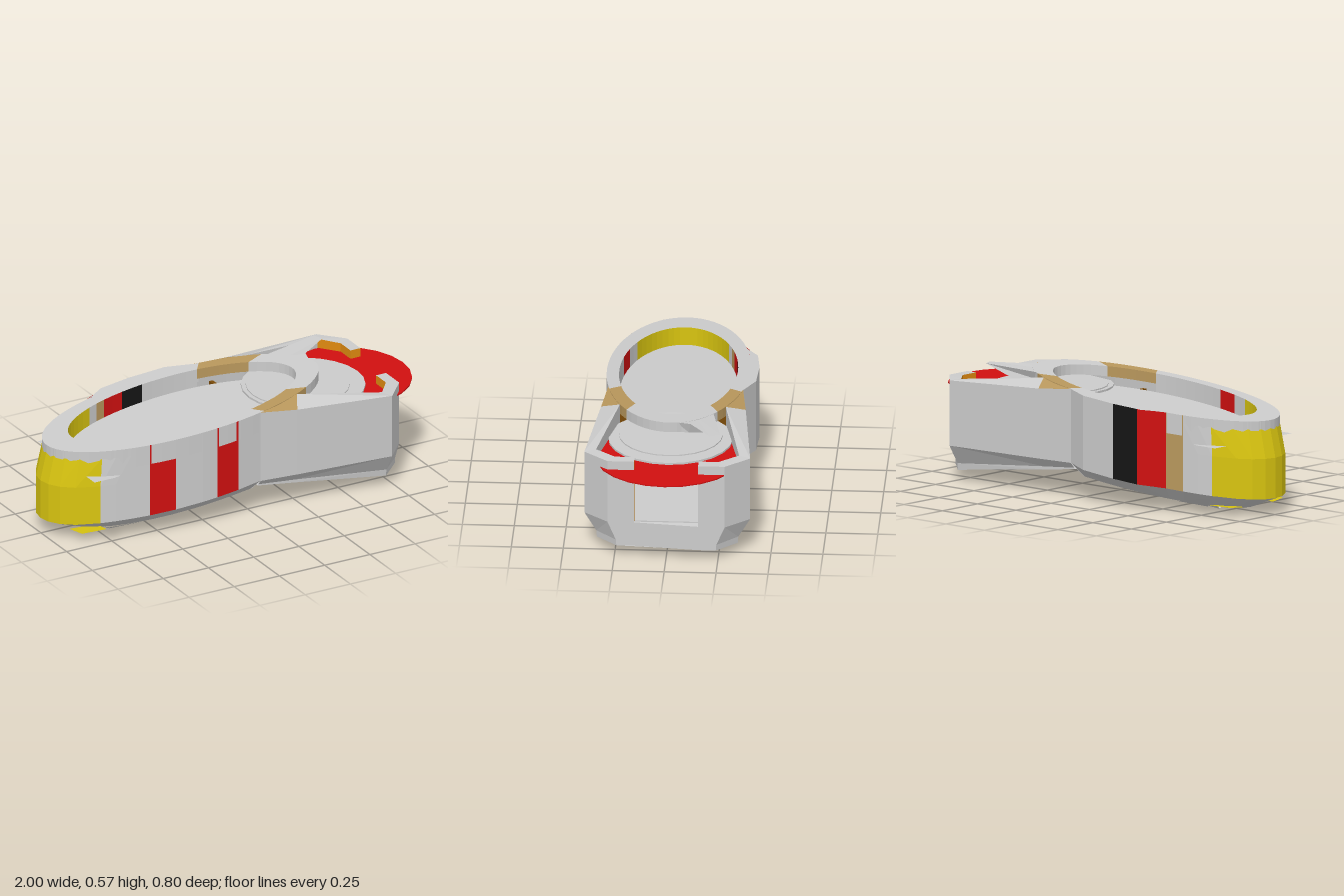
import * as THREE from 'three';

const GREY = 0xcccccc, RED = 0xd01010, YELLOW = 0xd8c410, TAN = 0xb8975c, ORANGE = 0xe08a10, BLACK = 0x151515, BROWN = 0x7a4a08;
const V = (x, y, z) => new THREE.Vector3(x, y, z);
const mat = c => new THREE.MeshStandardMaterial({ color: c, flatShading: true, side: THREE.DoubleSide });
const clamp = THREE.MathUtils.clamp;

// Skins a surface between rows of equally many points
function loft(rows, name, color = GREY) {
  const pos = [], idx = [], n = rows[0].length;
  rows.forEach(r => r.forEach(p => pos.push(p.x, p.y, p.z)));
  for (let r = 0; r < rows.length - 1; r++) for (let i = 0; i < n - 1; i++) {
    const a = r * n + i, b = a + n;
    idx.push(a, b, a + 1, a + 1, b, b + 1);
  }
  const g = new THREE.BufferGeometry();
  g.setAttribute('position', new THREE.Float32BufferAttribute(pos, 3));
  g.setIndex(idx);
  g.computeVertexNormals();
  const m = new THREE.Mesh(g, mat(color));
  m.name = name;
  return m;
}

// Tilted planes of the hull
const topY = x => 0.531 + 0.073 * x;
const wallY = x => 0.17 + 0.09 * x;
const bellyY = x => 0.09 + 0.082 * x;
const CX = -0.23, RX = 0.74, RZ = 0.345;
const hullZ = x => RZ * Math.sqrt(Math.max(0, 1 - ((x - CX) / RX) ** 2));
const BULGE = [[-0.55, 0.312], [-0.46, 0.368], [-0.3, 0.385], [-0.1, 0.38], [0.03, 0.325]];
function bulgeZ(x) {
  for (let i = 0; i < BULGE.length - 1; i++) {
    const [a, za] = BULGE[i], [b, zb] = BULGE[i + 1];
    if (x >= a && x <= b) return THREE.MathUtils.lerp(za, zb, (x - a) / (b - a));
  }
  return 0;
}

// Points of one hull section, from rim down to belly
function hullSection(x, s) {
  const z = s * (s < 0 ? Math.max(hullZ(x), bulgeZ(x)) : hullZ(x));
  const k = 1 + 0.045 * clamp((-0.7 - x) / 0.2, 0, 1);
  const bx = x < CX ? CX + (x - CX) * 0.83 : x;
  return [
    V(x, topY(x), z), V(x, topY(x) - 0.04, z),
    V(CX + (x - CX) * k, topY(x) - 0.18, z * k),
    V(CX + (x - CX) * k, wallY(x), z * k),
    V(bx, bellyY(bx), hullZ(x) * 0.7 * s)];
}

function buildHull(g) {
  const xs = [-0.97, -0.96, -0.93, -0.88, -0.79, -0.73, -0.66, -0.57, -0.44, -0.3, -0.22, -0.1, 0.03];
  const paint = { 1: { 7: RED, 10: RED }, '-1': { 6: TAN, 7: RED, 8: BLACK } };
  for (const s of [1, -1]) {
    for (let i = 0; i < xs.length - 1; i++) {
      const a = hullSection(xs[i], s), b = hullSection(xs[i + 1], s);
      const c = i < 4 ? YELLOW : paint[s][i] ?? GREY;
      g.add(loft([a.slice(0, 2), b.slice(0, 2)], 'hullRimBand', i < 4 ? GREY : c));
      g.add(loft([a.slice(1, 4), b.slice(1, 4)], i < 4 ? 'nosePanel' : 'hullPanel', c));
      g.add(loft([a.slice(3), b.slice(3)], 'lowerHull'));
    }
  }
  const belly = s => xs.map(x => hullSection(x, s)[4]);
  g.add(loft([belly(1), belly(-1)], 'belly'));
  // step behind the belly
  g.add(loft([[V(0.03, 0.092, 0.23), V(0.03, 0.092, -0.23)], [V(0.03, 0.17, 0.32), V(0.03, 0.17, -0.32)]], 'bellyStep'));
  // side bulge lid
  const bl = BULGE.map(b => b[0]);
  g.add(loft([bl.map(x => V(x, topY(x), -hullZ(x))), bl.map(x => V(x, topY(x), -Math.max(hullZ(x), bulgeZ(x))))], 'bulgeLid'));
  // keel under the belly
  const keel = [[-0.7, 0.002], [0.03, 0.066]].map(([x, y]) => [
    V(x, y + 0.035, 0.09), V(x, y, 0.065), V(x, y + 0.01, 0.05), V(x, y + 0.01, -0.05), V(x, y, -0.065), V(x, y + 0.035, -0.09)]);
  g.add(loft(keel, 'keel'));
  // small fins beside the nose
  for (const s of [1, -1]) {
    g.add(loft([[V(-0.86, 0.345, s * 0.275), V(-0.75, 0.345, s * 0.275)], [V(-0.86, 0.345, s * 0.15), V(-0.68, 0.345, s * 0.26)]], 'noseFin'));
    g.add(loft([[V(-0.8, 0.09, s * 0.24), V(-0.78, 0.09, s * 0.275)], [V(-0.72, 0.03, s * 0.17), V(-0.55, 0.04, s * 0.2)]], 'lowerFin'));
    g.add(loft([[V(-0.9, 0.04, s * 0.1), V(-0.75, 0.032, s * 0.1)], [V(-0.88, 0.045, s * 0.19), V(-0.75, 0.045, s * 0.2)]], 'bellyLight', YELLOW));
  }
}

function buildRing(g) {
  const N = 64;
  const at = (i, cx, rx, rz, d) => {
    const t = i / N * Math.PI * 2, x = cx + rx * Math.cos(t);
    return V(x, topY(x) - d, rz * Math.sin(t));
  };
  // bridge and rim, deeper where it joins the hull
  for (let i = 0; i < N; i++) {
    const x = at(i + 0.5, CX, RX, RZ, 0).x, z = at(i + 0.5, CX, RX, RZ, 0).z;
    const d = x < 0.05 ? 0.1 : 0.05;
    const tan = x > 0.03 && x < 0.32;
    const inner = x < -0.72 ? YELLOW : tan || (z < 0 && x > -0.66 && x < -0.57) ? TAN
      : x > -0.57 && x < -0.44 ? RED : z < 0 && x > -0.44 && x < -0.3 ? BLACK : GREY;
    const sec = j => [at(j, CX, RX, RZ, d), at(j, CX, RX, RZ, 0), at(j, -0.22, 0.61, 0.285, 0), at(j, -0.22, 0.61, 0.285, d)];
    const a = sec(i), b = sec(i + 1);
    g.add(loft([a.slice(0, 3), b.slice(0, 3)], 'rimRing', tan ? TAN : GREY));
    g.add(loft([a.slice(2), b.slice(2)], 'rimInnerWall', inner));
    if (x >= 0.05) g.add(loft([[a[3], a[0]], [b[3], b[0]]], 'bridgeUnderside'));
  }
  // sunken deck
  const edge = [], mid = [];
  for (let i = 0; i <= N; i++) {
    edge.push(at(i, -0.22, 0.605, 0.28, 0.09));
    mid.push(V(-0.22, topY(-0.22) - 0.09, 0));
  }
  g.add(loft([edge, mid], 'deck'));
  // raised fin on the bridge
  const fin = [[0.36, 0.557, -0.2], [0.65, 0.573, -0.25], [0.67, 0.572, -0.2], [0.52, 0.568, -0.1], [0.5, 0.566, -0.03]];
  const top = fin.map(p => V(...p)), c = V(0.42, 0.56, -0.12);
  g.add(loft([top, top.map(() => c)], 'bridgeFin'));
  g.add(loft([top, top.map(p => V(Math.min(p.x, 0.5), 0.515, p.z * 0.9))], 'bridgeFinSide'));
}

function buildTail(g) {
  const bottoms = {}, sills = {};
  for (const s of [1, -1]) {
    const d = s < 0 ? 0.035 : 0;
    const P = (x, y, z) => V(x > 0.6 ? x + d : x, y, z * s);
    const top = [P(0.03, 0.533, 0.325), P(0.22, 0.515, 0.348), P(0.715, 0.497, 0.4), P(0.82, 0.497, 0.283), P(0.82, 0.497, 0.155)];
    const waist = [P(0.03, 0.172, 0.325), P(0.22, 0.173, 0.348), P(0.715, 0.178, 0.4), P(0.82, 0.178, 0.283), P(0.82, 0.178, 0.155)];
    const low = [P(0.03, 0.145, 0.3), P(0.22, 0.13, 0.31), P(0.715, 0.085, 0.343), P(0.82, 0.085, 0.243), P(0.82, 0.085, 0.155)];
    const base = [P(0.03, 0.138, 0.3), P(0.22, 0.115, 0.31), P(0.715, 0.052, 0.34), P(0.82, 0.055, 0.24), P(0.82, 0.055, 0.155)];
    const rail = [P(0.03, 0.533, 0.323), P(0.27, 0.55, 0.255), P(0.69, 0.5, 0.345), P(0.765, 0.497, 0.25), P(0.765, 0.497, 0.155)];
    const drop = rail.map(p => V(p.x, 0.178, p.z));
    g.add(loft([top, waist, low, base], 'tailSide'));
    g.add(loft([top.slice(0, 2), rail.slice(0, 2)], 'tailGusset', TAN));
    g.add(loft([top.slice(1), rail.slice(1)], 'tailRail'));
    g.add(loft([rail.slice(1, 3), drop.slice(1, 3)], 'tailInnerWall'));
    g.add(loft([rail.slice(2), drop.slice(2)], 'postInnerWall', ORANGE));
    g.add(loft([[top[4], waist[4]], [rail[4], drop[4]]], 'doorPost', ORANGE));
    bottoms[s] = base;
    sills[s] = [waist[4], low[4], base[4]];
  }
  g.add(loft([bottoms[1], bottoms[-1]], 'tailUnderside'));
  g.add(loft([sills[1], sills[-1]], 'doorSill'));
  // cabin behind the doorway
  const box = (w, h, l, x, y, name, c = GREY) => {
    const m = new THREE.Mesh(new THREE.BoxGeometry(w, h, l), mat(c));
    m.position.set(x, y, 0);
    m.name = name;
    g.add(m);
  };
  box(0.6, 0.006, 0.5, 0.5, 0.176, 'cabinFloor');
  box(0.02, 0.165, 0.56, 0.1, 0.262, 'cabinBackWall', YELLOW);
  box(0.02, 0.1, 0.56, 0.1, 0.396, 'cabinUpperWall', BROWN);
  box(0.06, 0.05, 0.12, 0.15, 0.2, 'cabinStep', YELLOW);
  // landing disc and its raised centre
  const disc = (r, h, x, y, name, c) => {
    const m = new THREE.Mesh(new THREE.CylinderGeometry(r, r, h, 24), mat(c));
    m.position.set(x, y, 0);
    m.name = name;
    g.add(m);
  };
  disc(0.35, 0.006, 0.65, 0.45, 'tailDisc', RED);
  disc(0.3, 0.01, 0.45, 0.458, 'tailDiscCentre', GREY);
  disc(0.25, 0.008, 0.42, 0.465, 'tailDiscStep', GREY);
}

export function createModel() {
  const model = new THREE.Group();
  model.name = 'hoverCraft';
  for (const [name, build] of [['hull', buildHull], ['rim', buildRing], ['tail', buildTail]]) {
    const part = new THREE.Group();
    part.name = name;
    build(part);
    model.add(part);
  }
  return model;
}
